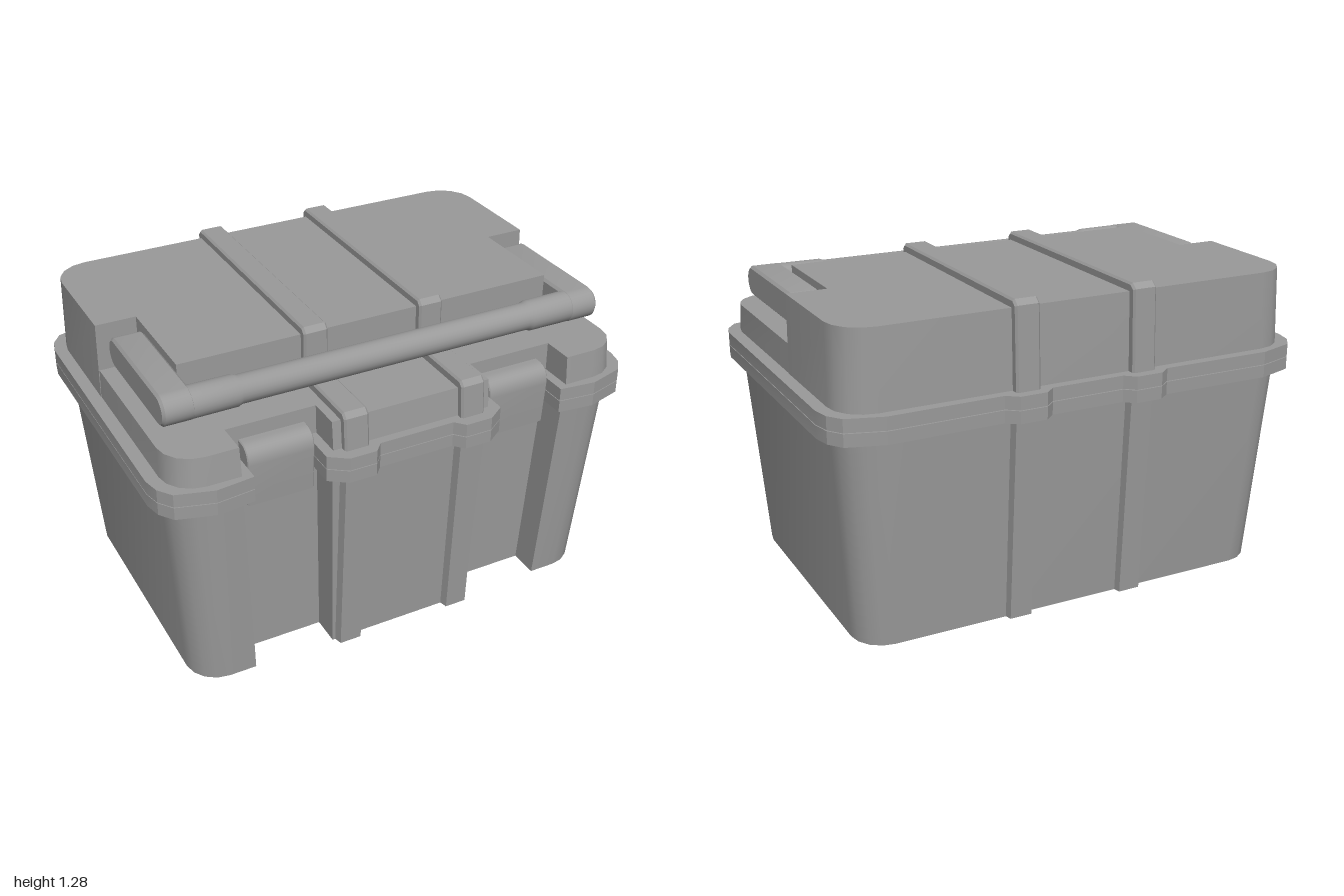
import * as THREE from 'three';
import { toCreasedNormals } from 'three/addons/utils/BufferGeometryUtils.js';

const material = new THREE.MeshStandardMaterial({ color: 0x9a9a9a, side: THREE.DoubleSide });

function add(group, name, geometry, x = 0, y = 0, z = 0) {
  const mesh = new THREE.Mesh(geometry, material);
  mesh.name = name;
  mesh.position.set(x, y, z);
  group.add(mesh);
}

// Completes a half outline (x > 0, listed front to back) by mirroring it
const mirror = half => [...half, ...half.map(([x, z]) => [-x, z]).reverse()];

// Quarter-round corner; dir 1 is a front corner, -1 a back corner
function corner(hx, z, r, dir, n = 4) {
  const pts = [];
  for (let i = 0; i <= n; i++) {
    const a = (i / n) * Math.PI / 2;
    pts.push([hx - r + r * Math.sin(a), z - dir * r + dir * r * Math.cos(a)]);
  }
  return dir > 0 ? pts : pts.reverse();
}

// Solid through stacked outlines [y, points], closed above and below
function loft(rings, crease = 0.5) {
  const n = rings[0][1].length, pos = [], index = [];
  for (const [y, pts] of rings) for (const [x, z] of pts) pos.push(x, y, z);
  for (let k = 0; k < rings.length - 1; k++) {
    for (let i = 0; i < n; i++) {
      const a = k * n + i, b = k * n + (i + 1) % n;
      index.push(a, b, b + n, a, b + n, a + n);
    }
  }
  const cap = pts => THREE.ShapeUtils.triangulateShape(pts.map(([x, z]) => new THREE.Vector2(x, -z)), []);
  const top = (rings.length - 1) * n;
  for (const [a, b, c] of cap(rings[0][1])) index.push(a, c, b);
  for (const [a, b, c] of cap(rings[rings.length - 1][1])) index.push(top + a, top + b, top + c);
  const geo = new THREE.BufferGeometry();
  geo.setAttribute('position', new THREE.Float32BufferAttribute(pos, 3));
  geo.setIndex(index);
  return toCreasedNormals(geo, crease);
}

// Side profile [z, y] extruded across x, centred on x = 0
function sideExtrude(shape, width, bevel = 0.008) {
  const geo = new THREE.ExtrudeGeometry(shape, {
    depth: width - 2 * bevel, bevelEnabled: true, bevelSize: bevel, bevelOffset: -bevel,
    bevelThickness: bevel, bevelSegments: 1, curveSegments: 10,
  });
  geo.translate(0, 0, -width / 2 + bevel);
  geo.rotateY(-Math.PI / 2);
  return toCreasedNormals(geo, 0.5);
}

const polygon = pts => new THREE.Shape(pts.map(p => new THREE.Vector2(...p)));

// Front half of an outline: two latch recesses beside a raised middle panel
const frontOutline = (hx, front, recess, panelX, pillarX) => [
  [panelX, front], [panelX, recess], [pillarX, recess], [pillarX, front], ...corner(hx, front, 0.13, 1),
];

// Upper lid outline with cut-outs for the handle arms
const crownOutline = (hx, back) => mirror([
  [0.785, 0.315], [0.785, -0.095], [hx, -0.095], ...corner(hx, back, 0.14, -1),
]);

export function createModel() {
  const box = new THREE.Group();
  box.name = 'toolBox';

  // Tapered tub
  add(box, 'tub', loft([
    [0, mirror([...frontOutline(0.885, 0.6, 0.48, 0.31, 0.645), ...corner(0.885, -0.598, 0.13, -1)])],
    [0.885, mirror([...frontOutline(0.95, 0.64, 0.51, 0.33, 0.685), ...corner(0.95, -0.64, 0.13, -1)])],
  ]));

  // Lid: low front deck, and the raised crown whose walls run down to the rim
  add(box, 'lidDeck', loft([
    [0.886, mirror([...frontOutline(0.951, 0.65, 0.51, 0.33, 0.688), [0.951, -0.1]])],
    [1.055, mirror([...frontOutline(0.946, 0.634, 0.505, 0.33, 0.69), [0.946, -0.1]])],
  ]));
  add(box, 'lidCrown', loft([[0.886, crownOutline(0.952, -0.65)], [1.247, crownOutline(0.946, -0.637)]]));

  // Two rim flanges with bumps around the ribs and gaps for the latches
  const rim = mirror([
    [0.155, 0.68], [0.19, 0.719], [0.3, 0.719], [0.37, 0.67], [0.37, 0.51], [0.65, 0.51], [0.65, 0.665],
    [0.69, 0.67], [0.8, 0.682], [0.945, 0.64], [0.985, 0.585], [1, 0.52],
    [1, -0.52], [0.985, -0.59], [0.945, -0.645], [0.8, -0.69],
    [0.345, -0.685], [0.3, -0.72], [0.19, -0.72], [0.15, -0.685],
  ]);
  add(box, 'lowerRim', loft([[0.835, rim], [0.885, rim]], 0.3));
  add(box, 'upperRim', loft([[0.888, rim], [0.94, rim]], 0.3));

  // Strap ribs over the lid and down the tub
  const lidRib = sideExtrude(polygon([
    [0.675, 0.92], [0.665, 1.07], [0.645, 1.09], [0.345, 1.09], [0.345, 1.26], [0.325, 1.28],
    [-0.645, 1.28], [-0.668, 1.26], [-0.682, 0.92],
  ]), 0.1);
  const ribRing = (front, back) => [
    [-0.045, front], [0.045, front], [0.055, front - 0.04],
    [0.055, back + 0.04], [0.045, back], [-0.045, back], [-0.055, back + 0.04], [-0.055, front - 0.04],
  ];
  const tubRib = loft([[0, ribRing(0.632, -0.625)], [0.86, ribRing(0.672, -0.67)]], 0.2);

  // Latch plate with a rounded top
  const latchShape = new THREE.Shape();
  latchShape.moveTo(0.5, 0.75);
  latchShape.lineTo(0.575, 0.75);
  latchShape.lineTo(0.588, 0.93);
  latchShape.quadraticCurveTo(0.588, 1.0, 0.525, 1.0);
  latchShape.lineTo(0.5, 1.0);
  latchShape.closePath();
  const latch = sideExtrude(latchShape, 0.265, 0.004);

  // Handle arm with round ends
  const armShape = new THREE.Shape();
  armShape.absarc(0.443, 1.165, 0.062, -Math.PI / 2, Math.PI / 2);
  armShape.absarc(0.004, 1.165, 0.062, Math.PI / 2, Math.PI * 1.5);
  armShape.closePath();
  const arm = sideExtrude(armShape, 0.125, 0.01);

  for (const [side, s] of [['left', 1], ['right', -1]]) {
    add(box, side + 'LidRib', lidRib, s * 0.245);
    add(box, side + 'TubRib', tubRib, s * 0.245);
    add(box, side + 'Latch', latch, s * 0.508);
    add(box, side + 'HandleArm', arm, s * 0.85);
  }

  // Handle bar, slightly thicker towards the arms
  const barProfile = [[0.061, -0.82], [0.06, -0.62], [0.054, -0.605], [0.054, 0.605], [0.06, 0.62], [0.061, 0.82]];
  const bar = new THREE.LatheGeometry(barProfile.map(p => new THREE.Vector2(...p)), 24).rotateZ(Math.PI / 2);
  add(box, 'handleBar', toCreasedNormals(bar, 0.5), 0, 1.165, 0.443);

  return box;
}
